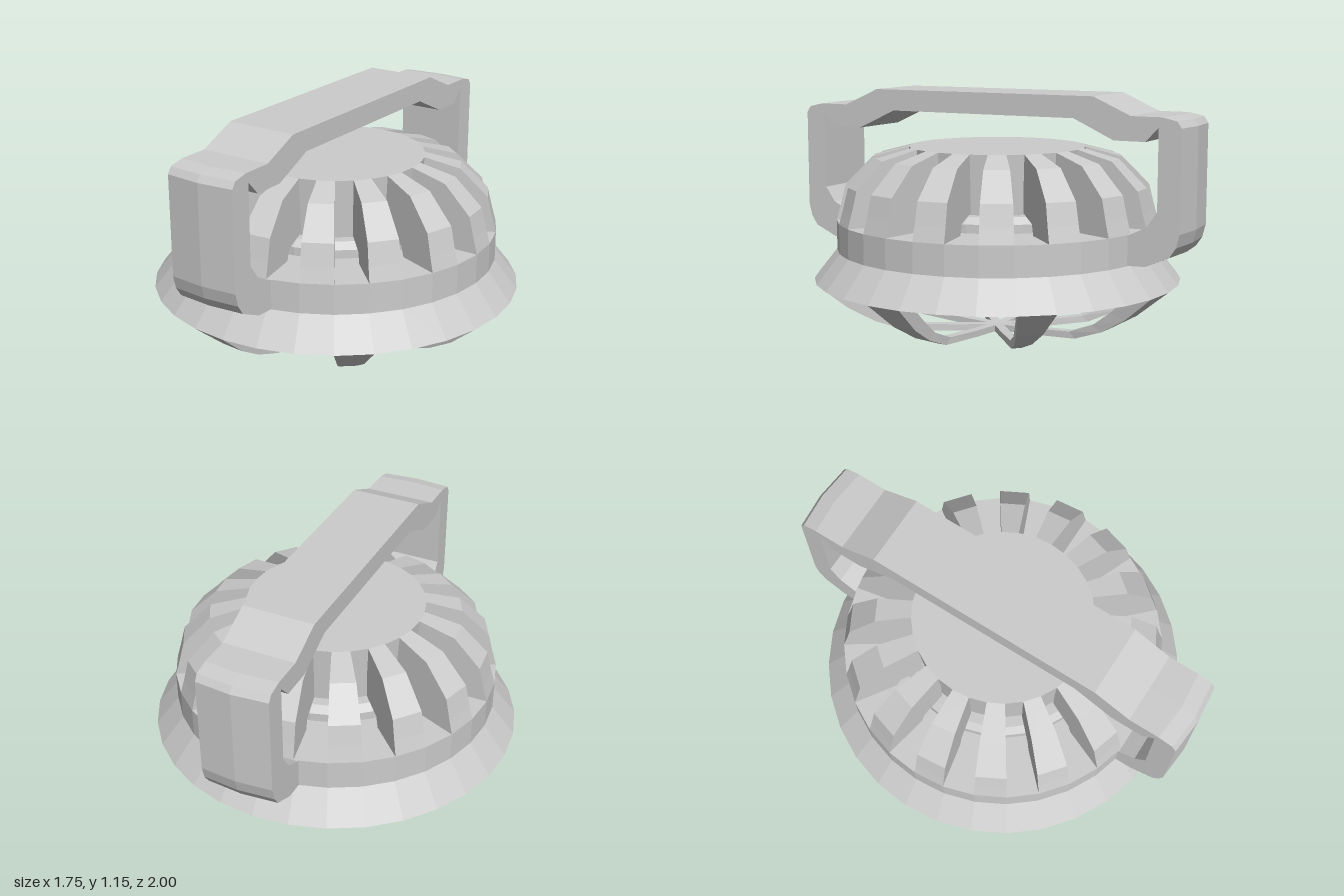
import * as THREE from 'three';

const SIDES = 32;
const STEP = (Math.PI * 2) / SIDES;
const HALF = Math.sin(STEP / 2);

const material = new THREE.MeshStandardMaterial({ color: 0xcccccc, flatShading: true, side: THREE.DoubleSide });

function add(group, name, geometry) {
  const mesh = new THREE.Mesh(geometry, material);
  mesh.name = name;
  group.add(mesh);
}

function lathe(points) {
  return new THREE.LatheGeometry(points.map(([r, y]) => new THREE.Vector2(r, y)), SIDES);
}

// Four-sided bar through sections [outer r, outer y, inner r, inner y],
// lying in the vertical plane at the given angle
function bar(sections, angle, halfWidth) {
  const c = Math.cos(angle), s = Math.sin(angle), k = Math.cos(STEP / 2);
  const pos = [], index = [];
  for (const [ro, yo, ri, yi] of sections) {
    for (const [r, y, side] of [[ro, yo, 1], [ro, yo, -1], [ri, yi, -1], [ri, yi, 1]]) {
      const w = halfWidth(r) * side;
      pos.push(r * k * c - w * s, y, r * k * s + w * c);
    }
  }
  const n = sections.length;
  for (let i = 0; i < n - 1; i++) {
    for (let j = 0; j < 4; j++) {
      const a = i * 4 + j, b = i * 4 + ((j + 1) % 4);
      index.push(a, b, b + 4, a, b + 4, a + 4);
    }
  }
  const e = (n - 1) * 4;
  index.push(0, 2, 1, 0, 3, 2, e, e + 1, e + 2, e, e + 2, e + 3);
  const g = new THREE.BufferGeometry();
  g.setAttribute('position', new THREE.Float32BufferAttribute(pos, 3));
  g.setIndex(index);
  g.computeVertexNormals();
  return g;
}

// Handle outline in z and y, mirrored front to back
function handleGeometry() {
  const outer = [[0.7, 0.41], [0.83, 0.415], [0.955, 0.465], [0.985, 0.51], [1, 0.57],
    [1, 1.03], [0.98, 1.06], [0.91, 1.075], [0.75, 1.075], [0.57, 1.155]];
  const inner = [[0.475, 1.055], [0.67, 0.965], [0.82, 0.965], [0.88, 1.03],
    [0.88, 0.66], [0.83, 0.59], [0.75, 0.55], [0.7, 0.55]];
  const mirror = (list) => list.map(([z, y]) => [-z, y]).reverse();
  const outline = [...outer, ...mirror(outer), ...mirror(inner), ...inner];
  const shape = new THREE.Shape(outline.map(([z, y]) => new THREE.Vector2(z, y)));
  const g = new THREE.ExtrudeGeometry(shape, { depth: 0.34, steps: 2, bevelEnabled: false });
  g.translate(0, 0, -0.17);
  g.rotateY(-Math.PI / 2);
  // Bow the two upright ends slightly outward along the middle
  const p = g.attributes.position;
  for (let i = 0; i < p.count; i++) {
    const z = p.getZ(i);
    if (Math.abs(z) > 0.9 && Math.abs(p.getX(i)) > 0.1) p.setZ(i, z - Math.sign(z) * 0.015);
  }
  g.computeVertexNormals();
  return g;
}

export function createModel() {
  const model = new THREE.Group();
  model.name = 'lantern';

  // Flared skirt and the collar that carries the ribs
  add(model, 'flaredCollar', lathe([[0.85, 0.27], [0.875, 0.27], [0.765, 0.41], [0.765, 0.55],
    [0.48, 0.55], [0.48, 0.5], [0.7, 0.48], [0.7, 0.36], [0.74, 0.36], [0.85, 0.27]]));

  // Lamp pan hanging inside the skirt, and the core seen through the slots
  add(model, 'lampPan', lathe([[0, 0.205], [0.53, 0.205], [0.6, 0.24], [0.6, 0.36], [0.72, 0.36]]));
  add(model, 'lampCore', lathe([[0.48, 0.53], [0.48, 0.59], [0.45, 0.62], [0, 0.62]]));

  // Slotted dome: solid hub surrounded by alternating ribs
  add(model, 'domeHub', lathe([[0, 0.62], [0.4, 0.62], [0.42, 0.895], [0, 0.895]]));
  const ribs = new THREE.Group();
  ribs.name = 'domeRibs';
  const ribSections = [[0.765, 0.55, 0.55, 0.55], [0.745, 0.62, 0.53, 0.6], [0.72, 0.72, 0.41, 0.63],
    [0.59, 0.85, 0.41, 0.77], [0.42, 0.895, 0.41, 0.89]];
  for (let i = 0; i < SIDES; i += 2) {
    add(ribs, 'rib', bar(ribSections, (i - 0.5) * STEP, (r) => r * HALF));
  }
  model.add(ribs);

  // Curved guard bars meeting under the lamp
  const guard = new THREE.Group();
  guard.name = 'guard';
  const guardSections = [[0, 0, 0, 0.03], [0.2, 0.006, 0.2, 0.036], [0.45, 0.02, 0.42, 0.05],
    [0.6, 0.075, 0.55, 0.1], [0.73, 0.15, 0.65, 0.175], [0.875, 0.27, 0.77, 0.275]];
  for (let i = 0; i < SIDES; i += 4) {
    add(guard, 'guardBar', bar(guardSections, (i + 0.5) * STEP, (r) => Math.max(0.022, 0.112 * r * r)));
  }
  model.add(guard);

  // Carrying handle arching over the dome
  add(model, 'handle', handleGeometry());

  return model;
}
